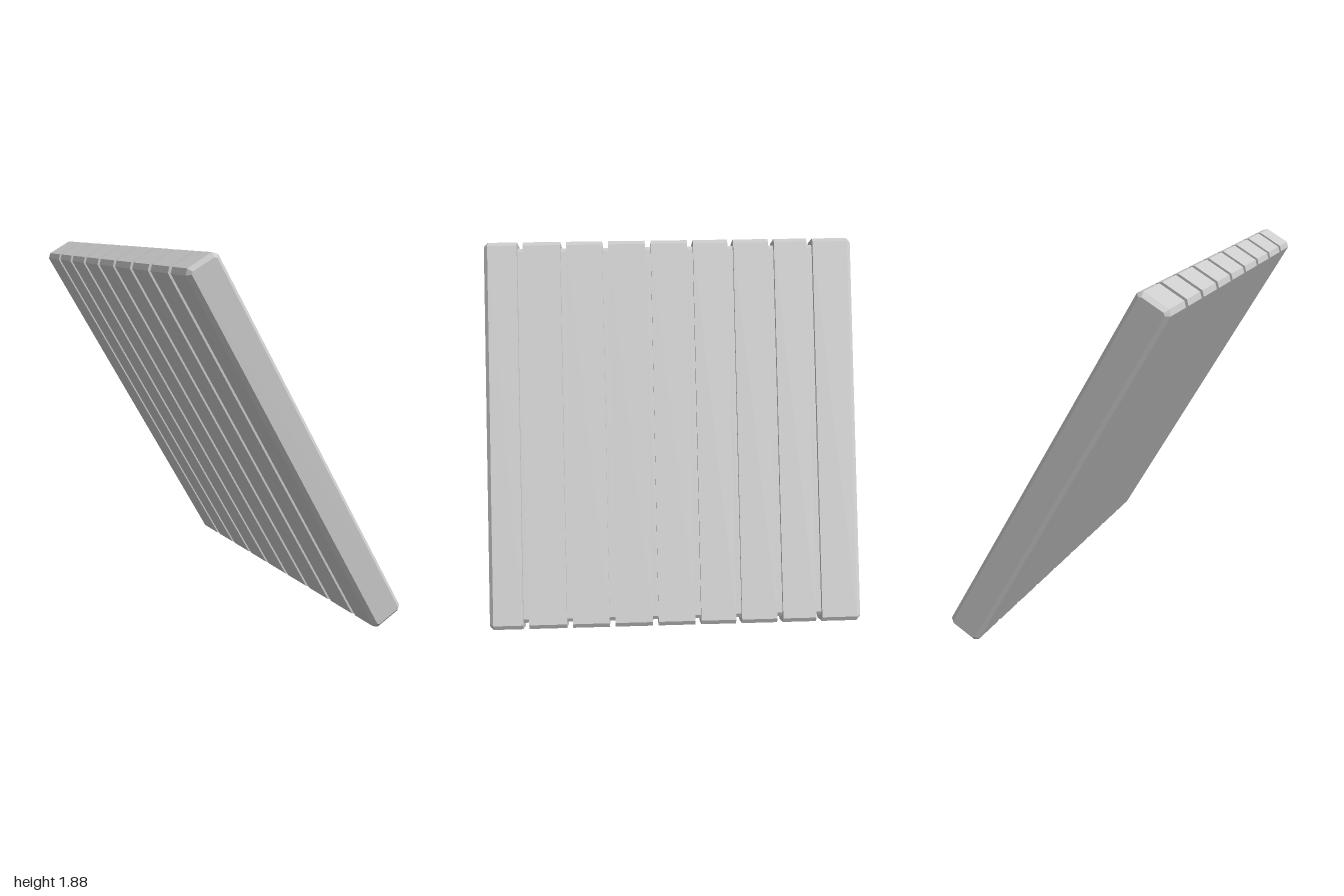
import * as THREE from 'three';

const HALF_LENGTH = 1.045, HALF_THICKNESS = 0.09, TILT = Math.PI / 6;
const GROOVE_WIDTH = 0.032, GROOVE_DEPTH = 0.03, BEVEL = 0.02;
const GROOVES = [-0.774, -0.562, -0.339, -0.119, 0.111, 0.343, 0.571, 0.805];

// Chamfered rectangle at depth z, counter-clockwise seen from +z
function section(z, inset, chamfer) {
  const x = HALF_THICKNESS - inset, y = HALF_LENGTH - inset, c = chamfer;
  return [
    [x, c - y], [x, y - c], [x - c, y], [c - x, y],
    [-x, y - c], [-x, c - y], [c - x, -y], [x - c, -y],
  ].map(([px, py]) => new THREE.Vector3(px, py, z));
}

// Skin the sections in order and close both ends, with flat faces
function loft(sections) {
  const points = [];
  for (let s = 0; s < sections.length - 1; s++) {
    const a = sections[s], b = sections[s + 1];
    a.forEach((_, i) => {
      const j = (i + 1) % a.length;
      points.push(a[i], a[j], b[j], a[i], b[j], b[i]);
    });
  }
  const first = sections[0], last = sections[sections.length - 1];
  for (let i = 1; i < first.length - 1; i++) {
    points.push(first[0], first[i + 1], first[i]);
    points.push(last[0], last[i], last[i + 1]);
  }
  const geometry = new THREE.BufferGeometry().setFromPoints(points);
  geometry.computeVertexNormals();
  return geometry;
}

export function createModel() {
  const group = new THREE.Group();
  group.name = 'slopedPanel';

  // Bevelled end, then planks separated by grooves running all the way round
  const sections = [section(-1, BEVEL, 0.01), section(-1 + BEVEL, 0, 0.022)];
  for (const z of GROOVES) {
    const z0 = z - GROOVE_WIDTH / 2, z1 = z + GROOVE_WIDTH / 2;
    sections.push(
      section(z0, 0, 0.022), section(z0, GROOVE_DEPTH, 0.02),
      section(z1, GROOVE_DEPTH, 0.02), section(z1, 0, 0.022),
    );
  }
  sections.push(section(1 - BEVEL, 0, 0.022), section(1, BEVEL, 0.01));

  const material = new THREE.MeshStandardMaterial({ color: 0xcccccc, flatShading: true });
  const panel = new THREE.Mesh(loft(sections), material);
  panel.name = 'groovedPlankPanel';

  // Lean the panel over so its top tips towards -x and it rests on the floor
  panel.rotation.z = TILT;
  panel.position.y = HALF_LENGTH * Math.cos(TILT) + (HALF_THICKNESS - 0.022) * Math.sin(TILT);
  group.add(panel);
  return group;
}
